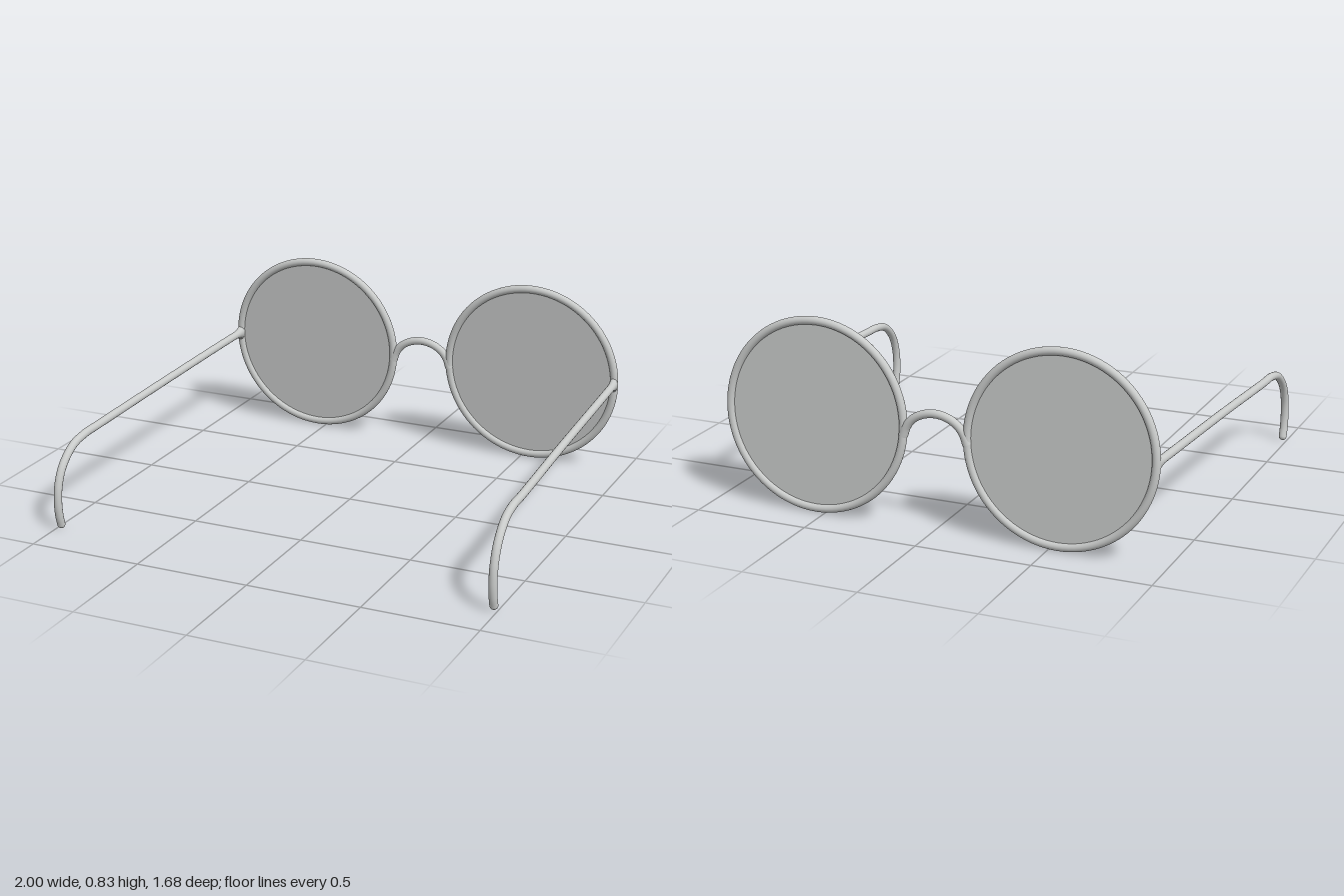
import * as THREE from 'three';

const WIRE = 0.0175;
const RING = { x: 0.54, y: 0.417, z: -0.803, radius: 0.399, tilt: 0.042 };

// Round wire along a smooth path; flare(u) gives [horizontal, vertical] thickening
function wire(points, segments, flare) {
  const curve = new THREE.CatmullRomCurve3(points.map(p => new THREE.Vector3(...p)), false, 'centripetal');
  const sides = 20;
  const geometry = new THREE.TubeGeometry(curve, segments, WIRE, sides, false);
  const pos = geometry.attributes.position;
  for (let i = 0; i <= segments; i++) {
    const centre = curve.getPointAt(i / segments);
    const [h, v] = flare(i / segments);
    for (let j = 0; j <= sides; j++) {
      const k = i * (sides + 1) + j;
      pos.setXYZ(k,
        centre.x + (pos.getX(k) - centre.x) * h,
        centre.y + (pos.getY(k) - centre.y) * v,
        centre.z + (pos.getZ(k) - centre.z) * h);
    }
  }
  return geometry;
}

export function createModel() {
  const model = new THREE.Group();
  model.name = 'roundGlasses';
  const metal = new THREE.MeshStandardMaterial({ color: 0xc9cbca });
  metal.name = 'frame light grey';
  const glass = new THREE.MeshStandardMaterial({ color: 0xc8cac9 });
  glass.name = 'lens light grey';

  const add = (parent, name, geometry, material) => {
    const mesh = new THREE.Mesh(geometry, material);
    mesh.name = name;
    parent.add(mesh);
    return mesh;
  };

  for (const [side, s] of [['left', 1], ['right', -1]]) {
    // Rim and lens, leaning slightly forward at the top
    const eye = new THREE.Group();
    eye.name = side + 'Eye';
    eye.position.set(s * RING.x, RING.y, RING.z);
    eye.rotation.x = RING.tilt;
    add(eye, side + 'Rim', new THREE.TorusGeometry(RING.radius, WIRE, 20, 96), metal);
    const lens = new THREE.CylinderGeometry(RING.radius - 0.01, RING.radius - 0.01, 0.006, 96);
    add(eye, side + 'Lens', lens.rotateX(Math.PI / 2), glass);
    model.add(eye);

    // Temple arm with hooked ear end, spreading into the rim at the hinge
    const path = [
      [0.938, 0.417, -0.803], [0.94, 0.417, -0.76], [0.945, 0.412, -0.6], [0.96, 0.389, 0],
      [0.974, 0.366, 0.5], [0.975, 0.362, 0.6], [0.978, 0.339, 0.695], [0.981, 0.272, 0.777],
      [0.982, 0.195, 0.814], [0.982, 0.12, 0.823], [0.982, 0.06, 0.817], [0.982, 0.02, 0.806],
    ].map(([x, y, z]) => [s * x, y, z]);
    const hinge = u => [1, 1 + 1.5 * Math.max(0, 1 - u / 0.035) ** 2];
    add(model, side + 'Temple', wire(path, 200, hinge), metal);
    const tip = add(model, side + 'TempleTip', new THREE.SphereGeometry(WIRE, 20, 12), metal);
    tip.position.set(...path[path.length - 1]);
  }

  // Arched nose bridge, thickened where it meets the rims
  const half = [[0.142, 0.385], [0.127, 0.425], [0.1, 0.459], [0.055, 0.485]];
  const arch = [
    ...half.map(([x, y]) => [-x, y, -0.805]),
    [0, 0.495, -0.805],
    ...half.reverse().map(([x, y]) => [x, y, -0.805]),
  ];
  const spread = u => {
    const e = Math.max(0, 1 - Math.min(u, 1 - u) / 0.25);
    return [1 + 0.15 * e, 1 + 0.15 * e];
  };
  add(model, 'bridge', wire(arch, 64, spread), metal);

  return model;
}
